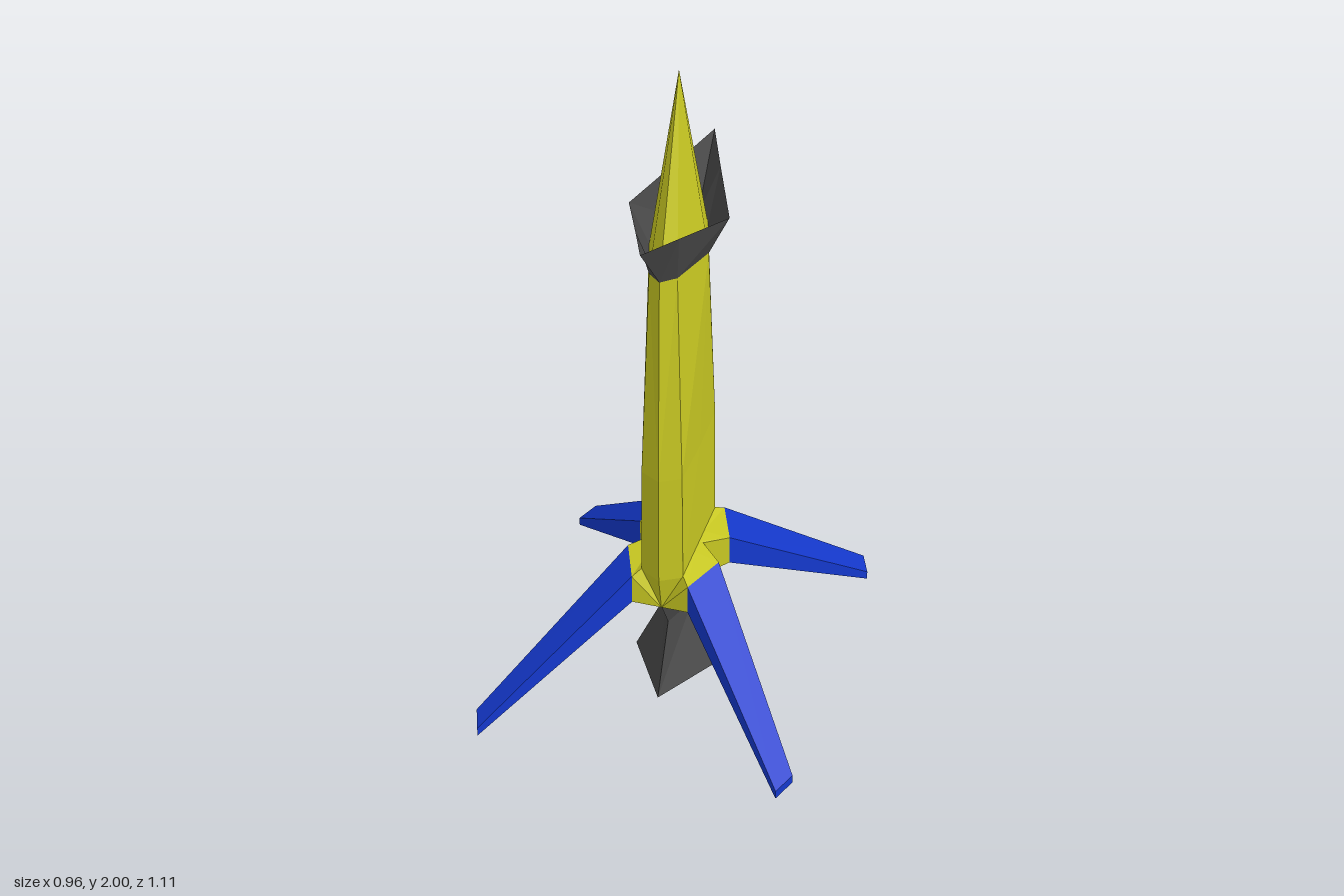
import * as THREE from 'three';

const YELLOW = 0xc8c822, BLUE = 0x1438cc, DARK = 0x484848;

// Skin between successive rings of points, drawn in the +x +z quarter and mirrored by sx, sz
function quarter(rings, closed, sx, sz) {
  const out = [];
  const tri = (a, b, c) => {
    const area = new THREE.Triangle(...[a, b, c].map(p => new THREE.Vector3(...p))).getArea();
    if (area < 1e-8) return;
    for (const p of sx * sz > 0 ? [a, b, c] : [a, c, b]) out.push(p[0] * sx, p[1], p[2] * sz);
  };
  for (let r = 0; r + 1 < rings.length; r++) {
    const lo = rings[r], up = rings[r + 1], n = lo.length;
    for (let i = 0; i < (closed ? n : n - 1); i++) {
      const j = (i + 1) % n;
      tri(lo[i], lo[j], up[j]);
      tri(lo[i], up[j], up[i]);
    }
  }
  return out;
}

const SIDES = [[1, 1], [1, -1], [-1, -1], [-1, 1]];

function mesh(name, positions, color, side = THREE.FrontSide) {
  const g = new THREE.BufferGeometry();
  g.setAttribute('position', new THREE.Float32BufferAttribute(positions, 3));
  g.computeVertexNormals();
  const m = new THREE.Mesh(g, new THREE.MeshStandardMaterial({ color, flatShading: true, side }));
  m.name = name;
  return m;
}

// Four mirrored quarters make a full hull
const hull = (name, rings, color, side) =>
  mesh(name, SIDES.flatMap(([sx, sz]) => quarter(rings, false, sx, sz)), color, side);

// Quarter ring: front point, corner, side point, all at one height
const ring = (y, z, cx, cz, x) => [[0, y, z], [cx, y, cz], [x, y, 0]];
const rhomb = (y, x, z) => [[0, y, z], [x, y, 0]];
const point = (y, n) => Array.from({ length: n }, () => [0, y, 0]);

export function createModel() {
  const model = new THREE.Group();
  model.name = 'rocket';

  // Tapering body and the spike on top
  const neck = ring(1.455, 0.183, 0.04, 0.148, 0.085);
  model.add(hull('body', [
    ring(0.44, 0.205, 0.063, 0.17, 0.063),
    ring(0.8, 0.203, 0.06, 0.17, 0.064),
    neck,
  ], YELLOW));
  model.add(hull('noseSpike', [neck, point(2, 3)], YELLOW));

  // Flared collar around the spike
  model.add(hull('collar', [
    neck,
    [[0, 1.64, 0.35], [0.06, 1.612, 0.2], [0.142, 1.575, 0]],
  ], DARK, THREE.DoubleSide));

  // Skirt that swells out into the four fin mounts
  model.add(hull('finMounts', [
    point(0.32, 4),
    [[0, 0.32, 0.18], [0.085, 0.335, 0.197], [0.14, 0.335, 0.06], [0.075, 0.32, 0]],
    [[0, 0.32, 0.18], [0.085, 0.43, 0.197], [0.14, 0.43, 0.06], [0.075, 0.442, 0]],
    [[0, 0.44, 0.205], [0.063, 0.446, 0.17], [0.063, 0.446, 0.05], [0.063, 0.446, 0]],
  ], YELLOW));

  // Waisted nozzle with a recess in its base
  model.add(hull('nozzle', [
    point(0.15, 2),
    rhomb(0.15, 0.055, 0.09),
    rhomb(0, 0.07, 0.115),
    rhomb(0, 0.137, 0.222),
    rhomb(0.21, 0.042, 0.113),
    rhomb(0.32, 0.066, 0.178),
  ], DARK));

  // Swept fins
  const section = (a, b, lo, hi) =>
    [[a[0], lo, a[1]], [b[0], lo, b[1]], [b[0], hi, b[1]], [a[0], hi, a[1]]];
  const fin = [
    section([0.085, 0.197], [0.14, 0.06], 0.335, 0.43),
    section([0.452, 0.553], [0.482, 0.477], 0.022, 0.05),
    Array(4).fill([0.467, 0.036, 0.515]),
  ];
  const names = ['frontLeftFin', 'backLeftFin', 'backRightFin', 'frontRightFin'];
  SIDES.forEach(([sx, sz], i) => model.add(mesh(names[i], quarter(fin, true, sx, sz), BLUE)));

  return model;
}
